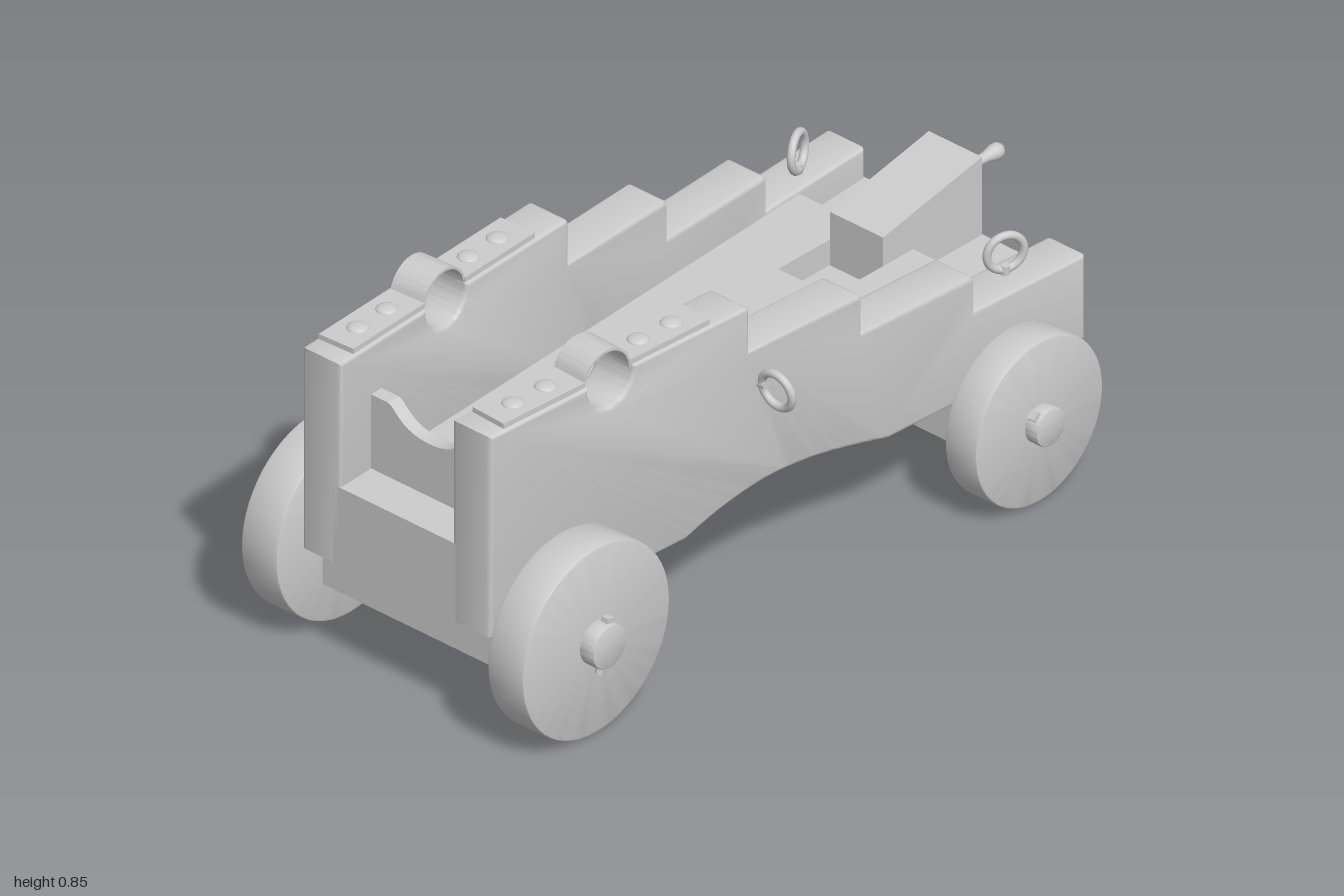
import * as THREE from 'three';
import { toCreasedNormals } from 'three/addons/utils/BufferGeometryUtils.js';

const mat = new THREE.MeshStandardMaterial({ color: 0xcccccc });

// The sides splay outward toward the back: centre line of a cheek at depth z
const cheekX = (z) => 0.223 + 0.058 * (0.955 - z);
const SPLAY = Math.atan(0.058);

function add(parent, name, geometry, x = 0, y = 0, z = 0) {
  const mesh = new THREE.Mesh(geometry, mat);
  mesh.name = name;
  mesh.position.set(x, y, z);
  parent.add(mesh);
  return mesh;
}

// Extrude a (z, y) profile sideways, centred on x = 0, then move x by a rule
function sideways(shape, width, bevel = 0, rule = null) {
  const geo = new THREE.ExtrudeGeometry(shape, {
    depth: width - 2 * bevel, bevelEnabled: bevel > 0, bevelThickness: bevel,
    bevelSize: bevel, bevelOffset: -bevel, bevelSegments: 3, curveSegments: 24,
  });
  geo.rotateY(-Math.PI / 2).translate(width / 2 - bevel, 0, 0);
  const p = geo.attributes.position;
  if (rule) for (let i = 0; i < p.count; i++) p.setX(i, rule(p.getX(i), p.getZ(i)));
  return toCreasedNormals(geo, 0.6);
}

// Shared underside: flat, shallow arch, flat (front to back)
function underside(shape) {
  shape.lineTo(0.955, 0.27);
  shape.lineTo(0.36, 0.27);
  shape.bezierCurveTo(0.28, 0.3, 0.18, 0.322, 0.09, 0.322);
  shape.bezierCurveTo(0, 0.322, -0.1, 0.305, -0.25, 0.265);
  shape.lineTo(-0.845, 0.265);
}

// Stepped side board with a half-round trunnion notch
function cheekShape() {
  const s = new THREE.Shape();
  const r = 0.015;
  s.moveTo(0.955, 0.785);
  underside(s);
  s.lineTo(-0.845, 0.48);
  let y = 0.48;
  for (const [z, top] of [[-0.51, 0.57], [-0.17, 0.67], [0.17, 0.785]]) {
    s.lineTo(z, y);
    s.lineTo(z, top - r);
    s.quadraticCurveTo(z, top, z + r, top);
    y = top;
  }
  s.lineTo(0.522, 0.785);
  s.absarc(0.59, 0.777, 0.068, Math.PI, Math.PI * 2, false);
  s.lineTo(0.658, 0.785);
  s.closePath();
  return s;
}

// Bed between the cheeks, cut down at the back for the wedge
function bedShape() {
  const s = new THREE.Shape();
  s.moveTo(0.955, 0.47);
  underside(s);
  for (const [z, y] of [[-0.845, 0.405], [-0.36, 0.405], [-0.36, 0.47]]) s.lineTo(z, y);
  s.closePath();
  return s;
}

// Breast board with a hollow for the barrel
function transom() {
  const s = new THREE.Shape();
  s.moveTo(-0.19, 0.44);
  s.lineTo(0.19, 0.44);
  s.lineTo(0.19, 0.66);
  s.lineTo(0.125, 0.66);
  s.bezierCurveTo(0.1, 0.66, 0.09, 0.605, 0, 0.605);
  s.bezierCurveTo(-0.09, 0.605, -0.1, 0.66, -0.125, 0.66);
  s.lineTo(-0.19, 0.66);
  s.closePath();
  return toCreasedNormals(new THREE.ExtrudeGeometry(s, { depth: 0.035, bevelEnabled: false, curveSegments: 20 }), 0.6);
}

// Disc around the x axis with softly bevelled rims
function disc(r, width, b) {
  const h = width / 2;
  const pts = [[0, -h], [r - b, -h], [r - b * 0.3, -h + b * 0.3], [r, -h + b], [r, h - b], [r - b * 0.3, h - b * 0.3], [r - b, h], [0, h]];
  const geo = new THREE.LatheGeometry(pts.map((p) => new THREE.Vector2(...p)), 56);
  return toCreasedNormals(geo.rotateZ(Math.PI / 2), 0.6);
}

// Axle tree, two wheels, hubs and linchpins
function axleSet(name, z, r, inner, outer, hubEnd, hubR, pinTilt) {
  const g = new THREE.Group();
  g.name = name;
  g.position.set(0, r, z);
  add(g, 'axleTree', new THREE.BoxGeometry(inner * 2, 0.163, 0.18), 0, 0.1985 - r);
  for (const s of [1, -1]) {
    add(g, 'wheel', disc(r, outer - inner, 0.008), s * (inner + outer) / 2);
    add(g, 'hub', disc(hubR, hubEnd - outer + 0.02, 0.005), s * (hubEnd + outer - 0.02) / 2);
    const pin = new THREE.Group();
    pin.name = 'linchpin';
    pin.position.x = s * (hubEnd - 0.02);
    pin.rotation.x = pinTilt;
    add(pin, 'pinShaft', new THREE.CylinderGeometry(0.009, 0.009, hubR * 2 + 0.024, 12), 0, -0.004);
    add(pin, 'pinHead', new THREE.BoxGeometry(0.02, 0.012, 0.022), 0, hubR + 0.006);
    g.add(pin);
  }
  return g;
}

// Hinged strap holding the trunnion: two plates, a hoop and four bolts
function trunnionStrap(s) {
  const g = new THREE.Group();
  g.name = 'trunnionStrap';
  g.position.set(s * cheekX(0.59), 0, 0.59);
  g.rotation.y = -s * SPLAY;
  for (const [a, b] of [[0.068, 0.315], [-0.31, -0.068]]) {
    add(g, 'strapPlate', new THREE.BoxGeometry(0.098, 0.016, b - a), 0, 0.79, (a + b) / 2);
  }
  const hoop = new THREE.Shape();
  hoop.absarc(0, 0.777, 0.073, 0, Math.PI, false);
  hoop.absarc(0, 0.777, 0.067, Math.PI, 0, true);
  add(g, 'strapHoop', sideways(hoop, 0.094));
  for (const z of [0.24, 0.14, -0.14, -0.24]) {
    const bolt = add(g, 'boltHead', new THREE.SphereGeometry(0.026, 20, 8, 0, Math.PI * 2, 0, Math.PI / 2), 0, 0.797, z);
    bolt.scale.y = 0.4;
  }
  return g;
}

// Tackle ring on a short eye bolt
function ringBolt(name, x, y, z, turn, bolt) {
  const g = new THREE.Group();
  g.name = name;
  g.position.set(x, y, z);
  const ring = add(g, 'ring', new THREE.TorusGeometry(0.044, 0.01, 12, 40));
  ring.rotation.set(0.12, turn, 0);
  const shank = add(g, 'eyeBolt', new THREE.CylinderGeometry(0.011, 0.011, 0.04, 12), bolt[0] * 0.052, bolt[1] * 0.052, 0);
  if (bolt[0]) shank.rotation.z = Math.PI / 2;
  return g;
}

export function createModel() {
  const model = new THREE.Group();
  model.name = 'gunCarriage';

  // Body
  add(model, 'bed', sideways(bedShape(), 1, 0, (x, z) => x * 2 * (cheekX(z) - 0.035)));
  add(model, 'transom', transom(), 0, 0, 0.815);
  for (const s of [1, -1]) {
    add(model, 'cheek', sideways(cheekShape(), 0.114, 0.009, (x, z) => x + s * cheekX(z)));
    add(model, 'slotSide', new THREE.BoxGeometry(0.19, 0.09, 0.262), s * 0.175, 0.425, -0.489);
    model.add(trunnionStrap(s));
    model.add(ringBolt('sideRing', s * 0.378, 0.578, 0.14, 0, [-s, 0]));
    model.add(ringBolt('rearRing', s * 0.308, 0.535, -0.67, s * 1.16, [0, -1]));
  }

  // Running gear
  model.add(axleSet('frontAxle', 0.765, 0.237, 0.312, 0.42, 0.46, 0.054, -0.22));
  model.add(axleSet('rearAxle', -0.595, 0.205, 0.385, 0.48, 0.515, 0.047, 0.75));

  // Elevating wedge, seated in the slot, with its turned handle
  const wedge = [[-0.843, 0.4], [-0.525, 0.4], [-0.525, 0.542], [-0.843, 0.605]];
  add(model, 'wedge', sideways(new THREE.Shape(wedge.map((p) => new THREE.Vector2(...p))), 0.158));
  const handle = [[0.018, 0], [0.013, 0.03], [0.011, 0.07], [0.013, 0.11], [0.019, 0.135], [0.019, 0.15], [0.014, 0.16], [0, 0.16]];
  const grip = new THREE.LatheGeometry(handle.map((p) => new THREE.Vector2(...p)), 20).rotateX(-Math.PI / 2);
  add(model, 'wedgeHandle', grip, -0.01, 0.518, -0.84);

  return model;
}
